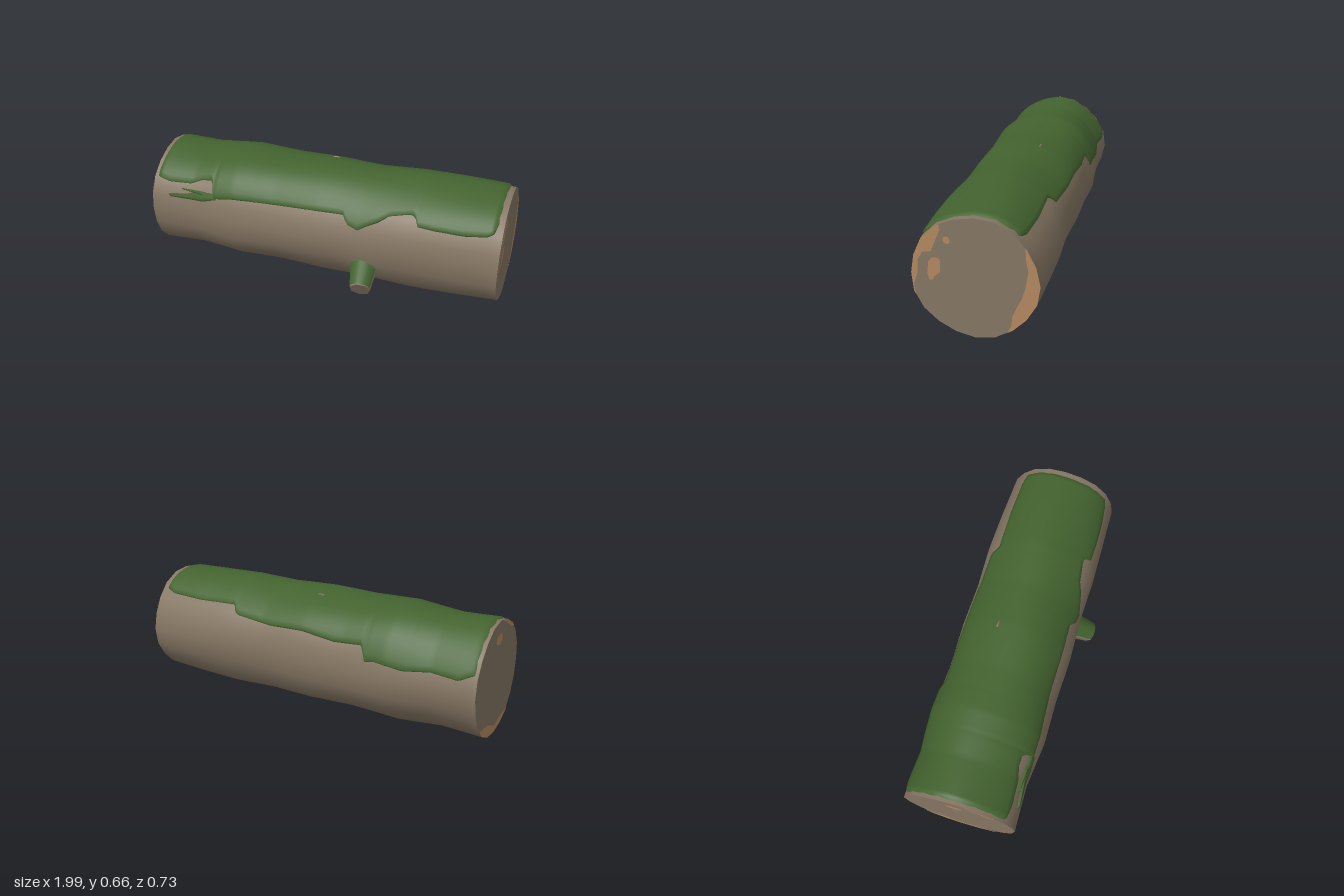
import * as THREE from 'three';

const CY = 0.33, CZ = -0.045, SIDES = 20, LEFT = 0.99, RIGHT = -0.995;
const deg = THREE.MathUtils.degToRad;

const bark = new THREE.MeshStandardMaterial({ color: 0x857663 });
bark.name = 'bark';
const freshWood = new THREE.MeshStandardMaterial({ color: 0xb4885f });
freshWood.name = 'fresh wood';
const moss = new THREE.MeshStandardMaterial({ color: 0x43632f, side: THREE.DoubleSide });
moss.name = 'moss';

// linear lookup in rows of [x, v1, v2...]
function lookup(rows, x, k = 1) {
  let i = 1;
  while (i < rows.length - 1 && rows[i][0] < x) i++;
  const [a, b] = [rows[i - 1], rows[i]];
  const t = THREE.MathUtils.clamp((x - a[0]) / (b[0] - a[0]), 0, 1);
  return a[k] + (b[k] - a[k]) * t;
}

// uneven trunk radius along x
const girth = [[-1, 0.308], [-0.75, 0.3], [-0.5, 0.323], [-0.25, 0.313], [0, 0.319],
  [0.25, 0.31], [0.5, 0.321], [0.75, 0.317], [1, 0.308]];

// point on the trunk: angle 0 is the top, positive towards the front
function trunkPoint(x, a, lift = 0) {
  const da = a - deg(121), dx = x - 0.28;
  const swell = 0.022 * Math.exp(-(dx * dx) / 0.012 - (da * da) / 0.06);
  const r = lookup(girth, x) + 0.004 * Math.sin(5 * a + 4 * x) + swell + lift;
  return new THREE.Vector3(x, CY + r * Math.cos(a), CZ + r * Math.sin(a));
}

// grid surface from a rule; closed joins the last row to the first
function surface(nu, nv, rule, closed = false) {
  const pos = [], index = [], cols = closed ? nv : nv + 1;
  for (let i = 0; i <= nu; i++)
    for (let j = 0; j < cols; j++) pos.push(...rule(i, j).toArray());
  for (let i = 0; i < nu; i++)
    for (let j = 0; j < nv; j++) {
      const k = (j + 1) % cols;
      const a = i * cols + j, b = i * cols + k, c = b + cols, d = a + cols;
      index.push(a, b, c, a, c, d);
    }
  const g = new THREE.BufferGeometry();
  g.setAttribute('position', new THREE.Float32BufferAttribute(pos, 3));
  g.setIndex(index);
  g.computeVertexNormals();
  return g;
}

// moss sheet between two angle edges, its rim tucked into the bark
function mossSheet(x0, x1, back, front, nu, nv, lift = 0.008) {
  return surface(nu, nv, (i, j) => {
    const x = x0 + (x1 - x0) * i / nu;
    const a0 = lookup(back, x), a1 = lookup(front, x);
    const rim = i === 0 || i === nu || j === 0 || j === nv;
    const t = j === 0 ? 0 : j === nv ? 1 : 0.01 + 0.98 * (j - 1) / (nv - 2);
    return trunkPoint(x, deg(a0 + (a1 - a0) * t), rim ? -0.006 : lift);
  });
}

// flat figure on a cut end, given as [z, y] points
function endPlate(points, x) {
  const s = Math.sign(x);
  const shape = new THREE.Shape(points.map(([z, y]) => new THREE.Vector2(-s * z, y)));
  const g = new THREE.ShapeGeometry(shape);
  g.rotateY(s * Math.PI / 2);
  g.translate(x, 0, 0);
  return g;
}

// points along the rim of a cut end, between two fractional corner numbers
function rim(x, from, to) {
  const corner = i => trunkPoint(x, i * 2 * Math.PI / SIDES);
  const at = u => {
    const i = Math.floor(u), p = corner(i).lerp(corner(i + 1), u - i);
    return [p.z, p.y];
  };
  const pts = [at(from)], step = Math.sign(to - from);
  let i = step > 0 ? Math.floor(from) + 1 : Math.ceil(from) - 1;
  for (; (to - i) * step > 0; i += step) pts.push(at(i));
  pts.push(at(to));
  return pts;
}

const blob = (z, y, rz, ry) => Array.from({ length: 12 }, (_, i) =>
  [z + rz * Math.cos(i * Math.PI / 6), y + ry * Math.sin(i * Math.PI / 6)]);

export function createModel() {
  const model = new THREE.Group();
  model.name = 'mossyLog';
  const add = (name, geometry, material, parent = model) => {
    const m = new THREE.Mesh(geometry, material);
    m.name = name;
    parent.add(m);
    return m;
  };

  // trunk and cut ends
  add('trunk', surface(32, SIDES, (i, j) =>
    trunkPoint(RIGHT + (LEFT - RIGHT) * i / 32, j * 2 * Math.PI / SIDES), true), bark);
  add('leftEnd', endPlate(rim(LEFT, 0, SIDES - 0.001), LEFT), bark);
  add('rightEnd', endPlate(rim(RIGHT, 0, SIDES - 0.001), RIGHT), bark);

  // bare wood on the cut ends
  const l = LEFT + 0.003, r = RIGHT - 0.003;
  add('leftFrontBareWood', endPlate([...rim(LEFT, 1.75, 6.2), [0.25, 0.27], [0.23, 0.33],
    [0.225, 0.4], [0.2, 0.445], [0.16, 0.45], [0.14, 0.5], [0.115, 0.56]], l), freshWood);
  add('leftBackBareWood', endPlate([...rim(LEFT, -2.9, -8.3), [-0.22, 0.11], [-0.225, 0.16],
    [-0.25, 0.22], [-0.27, 0.26], [-0.285, 0.31], [-0.3, 0.4], [-0.29, 0.45]], l), freshWood);
  add('leftSmallSpot', endPlate(blob(0.083, 0.515, 0.017, 0.019), l), freshWood);
  add('leftLargeSpot', endPlate([[0.115, 0.4], [0.125, 0.42], [0.155, 0.42], [0.175, 0.395],
    [0.18, 0.33], [0.17, 0.3], [0.155, 0.305], [0.145, 0.325], [0.12, 0.345]], l), freshWood);
  add('rightLowerBareWood', endPlate([...rim(RIGHT, 7.8, 12.6), [-0.15, 0.11], [-0.05, 0.065],
    [0.05, 0.08]], r), freshWood);
  add('rightUpperBareWood', endPlate([...rim(RIGHT, 0.2, 2.4), [0.12, 0.56], [0.05, 0.6]], r), freshWood);
  add('rightSpot', endPlate(blob(-0.06, 0.545, 0.045, 0.03), r), freshWood);

  // moss blanket with ragged front and back edges, in degrees from the top
  const front = [[-0.98, 54], [-0.9, 57.5], [-0.76, 56], [-0.7, 50], [-0.63, 49], [-0.615, 68],
    [-0.5, 65], [-0.3, 63], [0, 61], [0.15, 60], [0.18, 69], [0.24, 73], [0.28, 68], [0.35, 61],
    [0.4, 54], [0.5, 49], [0.535, 49], [0.555, 59], [0.65, 60], [0.8, 60], [0.92, 57],
    [0.95, 53], [0.965, 38]];
  const back = [[-0.98, -68], [-0.9, -76], [-0.75, -74], [-0.6, -78], [-0.45, -75], [-0.39, -77],
    [-0.37, -62], [-0.2, -64], [0, -60], [0.2, -61], [0.43, -57], [0.46, -47], [0.7, -49],
    [0.9, -47], [0.965, -42]];
  add('mossBlanket', mossSheet(-0.98, 0.965, back, front, 110, 26), moss);

  // moss tongues below the front edge
  add('mossTongue', mossSheet(-0.9, -0.59, [[-0.9, 70], [-0.78, 67], [-0.72, 63], [-0.59, 62]],
    [[-0.9, 72.5], [-0.68, 72.5], [-0.59, 68]], 14, 5), moss);
  add('mossFinger', mossSheet(-0.82, -0.66, [[-0.82, 62], [-0.66, 62]],
    [[-0.82, 63], [-0.66, 66]], 8, 4), moss);

  // small bare streak on top
  add('topBareStreak', mossSheet(-0.045, 0.015, [[-0.045, -17], [0.015, -16]],
    [[-0.045, -14.5], [0.015, -14.5]], 4, 4, 0.012), bark);

  // branch stub with its moss
  const from = new THREE.Vector3(0.265, 0.21, 0.16), to = new THREE.Vector3(0.288, 0.112, 0.333);
  const dir = to.clone().sub(from), len = dir.length();
  const stub = new THREE.Group();
  stub.name = 'branchStub';
  stub.position.copy(from).lerp(to, 0.5);
  stub.quaternion.setFromUnitVectors(new THREE.Vector3(0, 1, 0), dir.normalize());
  model.add(stub);
  add('branch', new THREE.CylinderGeometry(0.057, 0.084, len, 7), bark, stub);
  add('branchMoss', new THREE.CylinderGeometry(0.062, 0.09, len * 0.98, 7, 1, true,
    Math.PI - 0.95, 2.15), moss, stub);
  return model;
}
